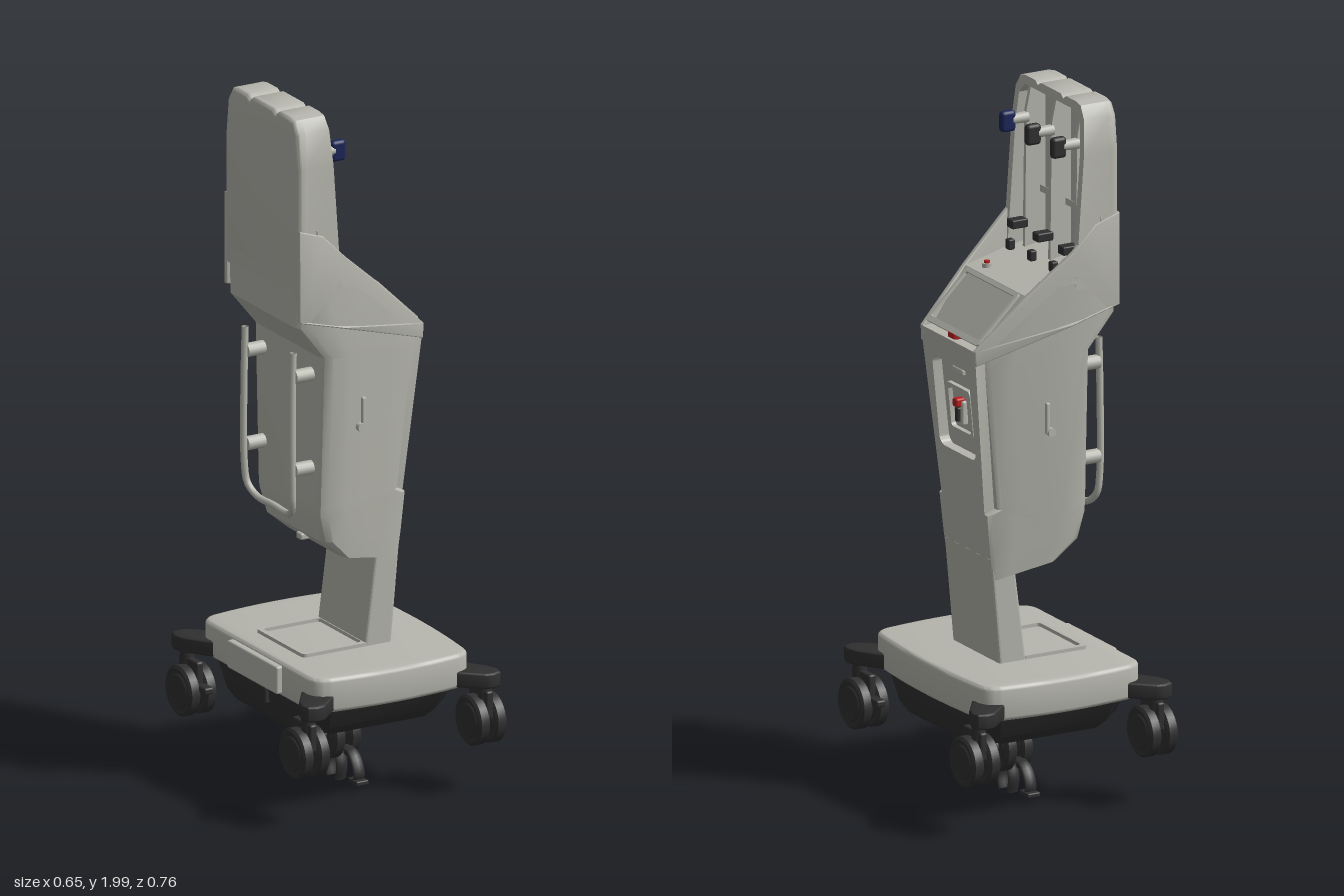
import * as THREE from 'three';
import { toCreasedNormals } from 'three/addons/utils/BufferGeometryUtils.js';
import { RoundedBoxGeometry } from 'three/addons/geometries/RoundedBoxGeometry.js';

const paint = (name, color, side = THREE.FrontSide) => {
  const m = new THREE.MeshStandardMaterial({ color, side });
  m.name = name;
  return m;
};

export function createModel() {
  const root = new THREE.Group();
  root.name = 'medicalCart';
  const grey = paint('light grey', 0xb6b6ae, THREE.DoubleSide);
  const dark = paint('charcoal', 0x303030);
  const blue = paint('navy', 0x1b2658);
  const red = paint('red', 0xb82020);

  const add = (name, geo, mat, x = 0, y = 0, z = 0, parent = root) => {
    const m = new THREE.Mesh(geo, mat);
    m.name = name;
    m.position.set(x, y, z);
    parent.add(m);
    return m;
  };
  const box = (w, h, d, r = 0.006) => new RoundedBoxGeometry(w, h, d, 2, r);
  const crease = (g, a = 0.6) => toCreasedNormals(g, a);
  const poly = pts => new THREE.Shape(pts.map(p => new THREE.Vector2(p[0], p[1])));
  const roundRect = (x0, y0, x1, y1, r, s = new THREE.Shape()) => {
    s.absarc(x1 - r, y0 + r, r, -Math.PI / 2, 0);
    s.absarc(x1 - r, y1 - r, r, 0, Math.PI / 2);
    s.absarc(x0 + r, y1 - r, r, Math.PI / 2, Math.PI);
    s.absarc(x0 + r, y0 + r, r, Math.PI, Math.PI * 1.5);
    s.closePath();
    return s;
  };
  const extrude = (shape, depth, bevel = 0) => new THREE.ExtrudeGeometry(shape, {
    depth: depth - 2 * bevel, curveSegments: 8, bevelEnabled: bevel > 0,
    bevelThickness: bevel, bevelSize: bevel, bevelOffset: -bevel, bevelSegments: 3,
  }).translate(0, 0, bevel);
  // extrusion directions: plan shapes rise along y, front shapes run along x
  const upward = (shape, d, b) => extrude(shape, d, b).rotateX(-Math.PI / 2);
  const forward = (shape, d, b) => extrude(shape, d, b).rotateY(Math.PI / 2);
  const bend = (geo, rule) => {
    const p = geo.attributes.position, v = new THREE.Vector3();
    for (let i = 0; i < p.count; i++) {
      rule(v.fromBufferAttribute(p, i));
      p.setXYZ(i, v.x, v.y, v.z);
    }
    return crease(geo);
  };
  const loft = rings => {
    const n = rings[0].length, pos = rings.flat(2), idx = [];
    rings.slice(1).forEach((_, i) => {
      for (let j = 0; j < n; j++) {
        const a = i * n + j, b = i * n + (j + 1) % n;
        idx.push(a, b, b + n, a, b + n, a + n);
      }
    });
    [0, rings.length - 1].forEach(k => {
      const c = pos.length / 3;
      for (let q = 0; q < 3; q++) pos.push(rings[k].reduce((s, p) => s + p[q], 0) / n);
      for (let j = 0; j < n; j++) {
        const a = k * n + j, b = k * n + (j + 1) % n;
        idx.push(...(k ? [c, a, b] : [c, b, a]));
      }
    });
    const g = new THREE.BufferGeometry();
    g.setAttribute('position', new THREE.Float32BufferAttribute(pos, 3));
    g.setIndex(idx);
    return crease(g);
  };

  // Base: bulged cover over a dark chassis
  const cover = new THREE.Shape();
  cover.moveTo(-0.25, -0.27);
  cover.quadraticCurveTo(-0.245, -0.312, -0.2, -0.32);
  cover.quadraticCurveTo(0, -0.35, 0.2, -0.32);
  cover.quadraticCurveTo(0.245, -0.312, 0.25, -0.27);
  cover.quadraticCurveTo(0.28, 0, 0.25, 0.27);
  cover.quadraticCurveTo(0.245, 0.312, 0.2, 0.32);
  cover.quadraticCurveTo(0, 0.35, -0.2, 0.32);
  cover.quadraticCurveTo(-0.245, 0.312, -0.25, 0.27);
  cover.closePath();
  add('baseCover', crease(upward(cover, 0.1, 0.012)), grey, 0, 0.32);
  add('baseBackPanel', box(0.03, 0.08, 0.27), grey, -0.253, 0.37);
  add('baseSocket', box(0.02, 0.05, 0.1), dark, -0.245, 0.3);
  const chassis = (w, d, y, c) => [[-w, d - c], [c - w, d], [w - c, d], [w, d - c],
    [w, c - d], [w - c, -d], [c - w, -d], [-w, c - d]].map(p => [p[0], y, p[1]]);
  add('chassis', loft([chassis(0.225, 0.23, 0.225, 0.08), chassis(0.238, 0.25, 0.25, 0.07),
    chassis(0.245, 0.29, 0.335, 0.06)]), dark);
  const tray = roundRect(-0.18, -0.13, 0.03, 0.13, 0.015);
  tray.holes.push(roundRect(-0.165, -0.115, 0.03 - 0.015, 0.115, 0.01, new THREE.Path()));
  add('baseTrayRim', upward(tray, 0.012), grey, 0, 0.418);

  // Corner arms and twin-wheel casters
  const wheelGeo = new THREE.LatheGeometry([[0, -0.018], [0.045, -0.018], [0.05, -0.014], [0.064, -0.018],
    [0.072, -0.012], [0.072, 0.012], [0.064, 0.018], [0.05, 0.014], [0.045, 0.018], [0, 0.018]]
    .map(p => new THREE.Vector2(p[0], p[1])), 28).rotateZ(Math.PI / 2);
  const wheel = crease(wheelGeo);
  for (const sx of [1, -1]) for (const sz of [1, -1]) {
    const arm = poly([[0.14, 0.27], [0.23, 0.21], [0.3, 0.31], [0.312, 0.345], [0.305, 0.37],
      [0.28, 0.38], [0.255, 0.375]].map(p => [sx * p[0], -sz * p[1]]));
    add('casterArm', crease(upward(arm, 0.045, 0.006)), dark, 0, 0.325);
    const caster = new THREE.Group();
    caster.name = 'caster';
    caster.position.set(sx * 0.28, 0.22, sz * 0.307);
    root.add(caster);
    for (const s of [1, -1]) add('wheel', wheel, dark, s * 0.026, 0, 0, caster);
    add('casterHousing', box(0.022, 0.08, 0.1), dark, 0, 0.05, 0, caster);
    add('casterStem', new THREE.CylinderGeometry(0.02, 0.02, 0.07, 16), dark, 0, 0.085, sz * 0.02, caster);
    add('brakePedal', box(0.03, 0.02, 0.05), dark, 0, 0.02, -sz * 0.075, caster);
  }

  // Central drive wheel with curved spring legs
  add('centreWheel', wheel, dark, 0.025, 0.14);
  add('centreWheel', wheel, dark, -0.025, 0.14);
  add('centreHub', new THREE.CylinderGeometry(0.025, 0.025, 0.1, 16).rotateZ(Math.PI / 2), dark, 0, 0.14);
  add('centreStem', box(0.04, 0.1, 0.05), dark, 0, 0.2);
  const legPaths = [[[0.02, 0.09], [0.032, 0.05], [0.022, 0.008]],
    [[0.05, 0.11], [0.09, 0.105], [0.115, 0.08], [0.125, 0.045], [0.11, 0.025]]];
  for (const s of [1, -1]) {
    for (const path of legPaths) {
      const c = new THREE.CatmullRomCurve3(path.map(p => new THREE.Vector3(0, p[1], s * p[0])));
      add('springLeg', new THREE.TubeGeometry(c, 12, 0.007, 8).scale(2.6, 1, 1), dark);
    }
    add('springFoot', box(0.04, 0.014, 0.05, 0.004), dark, 0, 0.03, s * 0.12);
  }

  // Leaning neck
  add('neck', extrude(poly([[0.015, 0.41], [0.1, 0.41], [0.128, 0.72], [0.055, 0.72]]), 0.26, 0.008)
    .translate(0, 0, -0.13), grey);

  // Main body, narrowing to the front and to the bottom
  const halfWidth = x => 0.203 - 0.053 * THREE.MathUtils.clamp((x + 0.09) / 0.28, 0, 1);
  const sections = [ // back x, y, front x, y, width scale
    [-0.07, 0.7, 0.12, 0.66, 0.8], [-0.135, 0.755, 0.13, 0.74, 0.83], [-0.155, 0.83, 0.141, 0.85, 0.86],
    [-0.155, 0.86, 0.112, 0.865, 0.87], [-0.155, 1.3, 0.155, 1.27, 0.965],
    [-0.235, 1.4, 0.163, 1.325, 0.99], [-0.235, 1.53, 0.04, 1.475, 0.985]];
  const across = [[0, 0.85], [0.03, 0.95], [0.1, 1], [0.3, 1], [0.5, 1], [0.75, 1], [0.96, 1], [1, 0.96]];
  const ring = ([xb, yb, xf, yf, s]) => {
    const half = across.map(([t, k]) => {
      const x = xb + (xf - xb) * t;
      return [x, yb + (yf - yb) * t, halfWidth(x) * k * s];
    });
    return [...half, ...half.map(([x, y, z]) => [x, y, -z]).reverse()];
  };
  add('body', loft(sections.map(ring)), grey);

  // Front panel with a recessed window, following the lean
  const front = poly([[-0.118, 0.85], [0.118, 0.85], [0.147, 1.3], [0.14, 1.332], [-0.14, 1.332], [-0.147, 1.3]]);
  front.holes.push(roundRect(-0.1, 1.0, 0.1, 1.26, 0.025, new THREE.Path()));
  const lean = v => { v.x += 0.1 * (v.y - 1.33); };
  add('frontPanel', bend(forward(front, 0.045).translate(0.145, 0, 0), lean), grey);
  const frame = roundRect(-0.066, 1.05, 0.066, 1.19, 0.012);
  frame.holes.push(roundRect(-0.054, 1.062, 0.054, 1.178, 0.01, new THREE.Path()));
  add('windowFrame', bend(forward(frame, 0.016).translate(0.158, 0, 0), lean), grey);
  add('windowLatch', box(0.02, 0.02, 0.06), grey, 0.152, 1.235);
  add('socket', box(0.02, 0.07, 0.04), grey, 0.145, 1.115);
  add('socketPlug', box(0.025, 0.04, 0.018, 0.004), dark, 0.152, 1.11);
  add('emergencyKey', box(0.03, 0.025, 0.025), red, 0.155, 1.145);

  // Raised side walls beside the deck
  for (const s of [1, -1]) {
    const wall = poly([[-0.235, 1.42], [-0.09, 1.38], [0.188, 1.29], [0.19, 1.333], [0.04, 1.478],
      [-0.09, 1.59], [-0.16, 1.66], [-0.235, 1.685]]);
    add('sideWall', bend(extrude(wall, 0.016, 0.003).translate(0, 0, -0.008), v => {
      v.z += s * (halfWidth(v.x) - 0.006);
    }), grey);
    add('sideLatch', new THREE.CylinderGeometry(0.012, 0.012, 0.02, 12).rotateX(Math.PI / 2), grey, -0.03, 1.08, s * 0.183);
    add('sideHook', box(0.012, 0.09, 0.012, 0.004), grey, -0.02, 1.12, s * 0.183);
  }

  // Sloping screen with a raised bezel, and the red controls
  const bezel = roundRect(-0.143, -0.097, 0.143, 0.088, 0.008);
  bezel.holes.push(roundRect(-0.133, -0.08, 0.133, 0.076, 0.006, new THREE.Path()));
  const bezelMesh = add('screenBezel', forward(bezel, 0.008), grey, 0.105, 1.41);
  bezelMesh.rotation.z = 0.8;
  const release = upward(poly([[0.158, -0.024], [0.18, -0.016], [0.18, 0.016], [0.158, 0.024]]), 0.018, 0.003);
  add('releaseButton', release, red, 0, 1.33);
  add('buttonRing', new THREE.CylinderGeometry(0.014, 0.014, 0.012, 20), grey, 0.005, 1.486, 0.107);
  add('roundButton', new THREE.CylinderGeometry(0.008, 0.009, 0.022, 20), red, 0.005, 1.488, 0.107);

  // Upright holder: back plate, surrounding rim, and three ribs with pegs
  const outer = [[-0.2, 1.48], [0.2, 1.48], [0.2, 1.86], [0.188, 1.96], [0.165, 1.995], [0.14, 2], [0.085, 2],
    [0.07, 1.99], [0.055, 2], [-0.055, 2], [-0.07, 1.99], [-0.085, 2], [-0.14, 2], [-0.165, 1.995],
    [-0.188, 1.96], [-0.2, 1.86]];
  add('holderBack', crease(forward(poly(outer), 0.04, 0.012)), grey, -0.235);
  const rim = poly(outer);
  rim.holes.push(new THREE.Path([[-0.178, 1.49], [0.178, 1.49], [0.178, 1.86], [0.168, 1.945], [0.14, 1.975],
    [-0.14, 1.975], [-0.168, 1.945], [-0.178, 1.86]].map(p => new THREE.Vector2(p[0], p[1]))));
  add('holderRim', bend(forward(rim, 0.08).translate(-0.215, 0, 0), v => {
    if (v.x > -0.16) v.x += 0.07 * (2 - v.y);
  }), grey);
  add('holderBand', box(0.12, 0.02, 0.408, 0.008), grey, -0.178, 1.672).scale.set(0.01, 1, 1);
  for (const z of [-0.14, 0, 0.14]) {
    const cap = z > 0.1 ? blue : dark;
    add('rib', extrude(poly([[-0.21, 1.5], [-0.13, 1.5], [-0.135, 1.9], [-0.15, 1.97], [-0.21, 1.97]]), 0.012)
      .translate(0, 0, z - 0.006), grey);
    add('pegBase', new THREE.CylinderGeometry(0.014, 0.016, 0.05, 16).rotateZ(-Math.PI / 2), grey, -0.115, 1.88, z);
    add('peg', box(0.045, 0.06, 0.025, 0.01), cap, -0.078, 1.877, z);
    add('clip', box(0.05, 0.025, 0.034, 0.004), dark, -0.11, 1.58, z);
    add('deckClip', box(0.02, 0.03, 0.022, 0.004), dark, -0.075, 1.53, z * 0.85);
  }

  // Rear push rail
  const rail = new THREE.CatmullRomCurve3([[-0.212, 1.31, 0.13], [-0.215, 1.2, 0.13], [-0.215, 0.92, 0.13],
    [-0.21, 0.86, 0.122], [-0.2, 0.83, 0.09], [-0.198, 0.828, 0], [-0.2, 0.83, -0.09], [-0.21, 0.86, -0.122],
    [-0.215, 0.92, -0.13], [-0.215, 1.2, -0.13], [-0.212, 1.31, -0.13]].map(p => new THREE.Vector3(...p)));
  add('pushRail', new THREE.TubeGeometry(rail, 80, 0.01, 10), grey);
  for (const z of [-0.13, 0.13]) for (const y of [1.24, 0.97])
    add('railMount', new THREE.CylinderGeometry(0.02, 0.02, 0.08, 14).rotateZ(Math.PI / 2), grey, -0.17, y, z);
  add('rearPeg', box(0.03, 0.02, 0.03), grey, -0.105, 0.725);
  return root;
}
